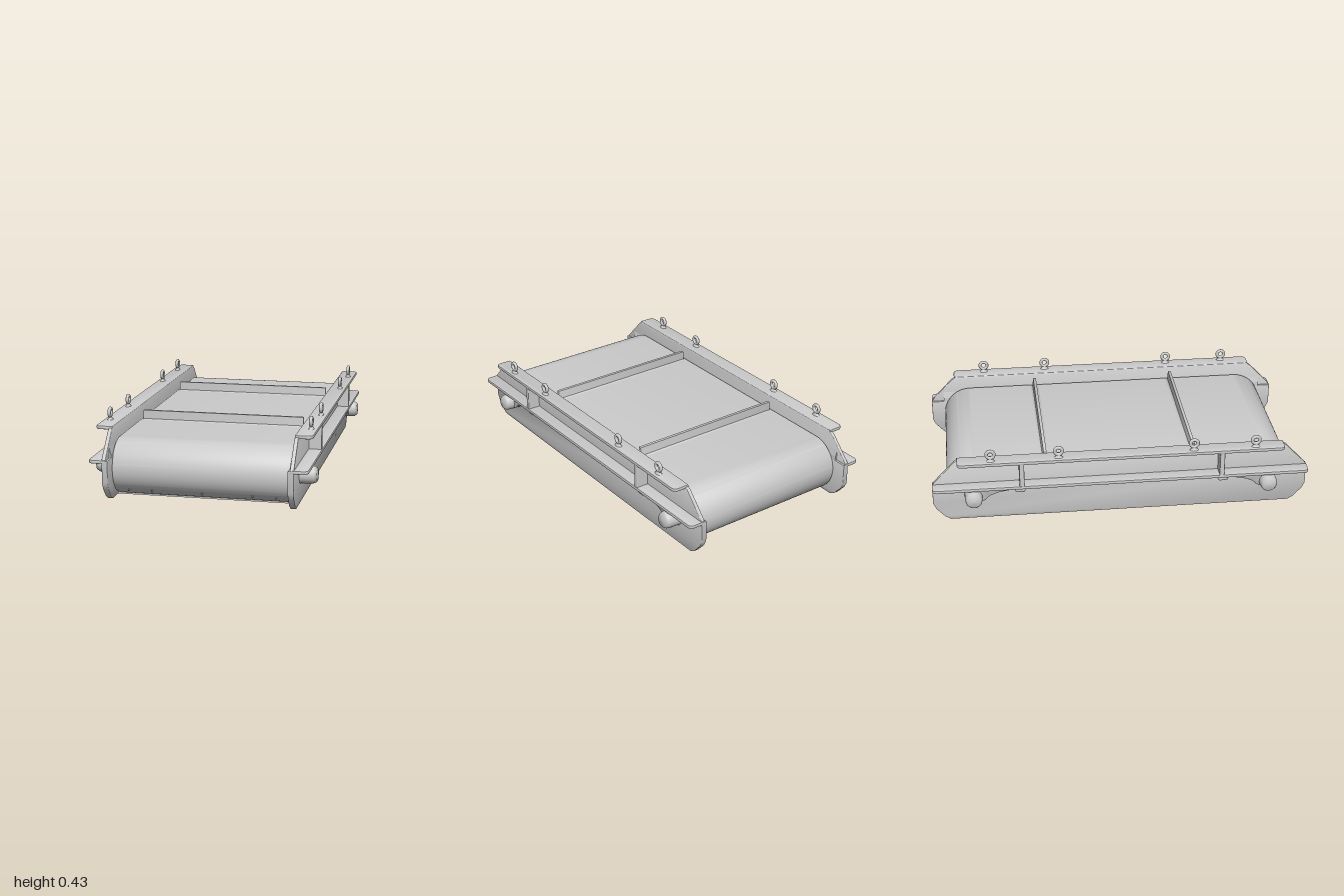
import * as THREE from 'three';
import { RoundedBoxGeometry } from 'three/addons/geometries/RoundedBoxGeometry.js';
import { toCreasedNormals } from 'three/addons/utils/BufferGeometryUtils.js';

const material = new THREE.MeshStandardMaterial({ color: 0xcccccc });

function add(parent, name, geometry, x = 0, y = 0, z = 0) {
  const mesh = new THREE.Mesh(geometry, material);
  mesh.name = name;
  mesh.position.set(x, y, z);
  parent.add(mesh);
  return mesh;
}

const polygon = (points) => new THREE.Shape(points.map(([z, y]) => new THREE.Vector2(z, y)));

// Extrudes a (z, y) outline across x, from x0 to x1
function extrudeAcross(shape, x0, x1, bevel = 0) {
  const geometry = new THREE.ExtrudeGeometry(shape, {
    depth: x1 - x0 - 2 * bevel, curveSegments: 24,
    bevelEnabled: bevel > 0, bevelSize: bevel, bevelThickness: bevel, bevelOffset: -bevel, bevelSegments: 4,
  });
  geometry.rotateY(-Math.PI / 2).translate(x1 - bevel, 0, 0);
  return toCreasedNormals(geometry, 0.6);
}

// Flat strip with rounded corners in plan
function flange(x0, x1, halfLength, y, thickness) {
  const r = 0.03, L = halfLength;
  const s = new THREE.Shape();
  s.moveTo(x0, -L);
  s.lineTo(x1 - r, -L);
  s.quadraticCurveTo(x1, -L, x1, -L + r);
  s.lineTo(x1, L - r);
  s.quadraticCurveTo(x1, L, x1 - r, L);
  s.lineTo(x0, L);
  const b = 0.004;
  const geometry = new THREE.ExtrudeGeometry(s, {
    depth: thickness - 2 * b, bevelSize: b, bevelThickness: b, bevelOffset: -b, bevelSegments: 2,
  });
  geometry.rotateX(-Math.PI / 2).translate(0, y + b, 0);
  return toCreasedNormals(geometry, 0.6);
}

// Belt loop, with rounded side edges
function addBelt(group) {
  const r = 0.149, end = 0.925 - r;
  const loop = new THREE.Shape();
  loop.moveTo(-end, 0.002);
  loop.lineTo(end, 0.002);
  loop.absarc(end, 0.151, r, -Math.PI / 2, Math.PI / 2);
  loop.lineTo(-end, 0.3);
  loop.absarc(-end, 0.151, r, Math.PI / 2, Math.PI * 1.5);
  add(group, 'belt', extrudeAcross(loop, -0.462, 0.462, 0.02));
  add(group, 'underside', new THREE.BoxGeometry(0.92, 0.02, 1.64), 0, 0.0101, 0);

  // Cross cleats with a flared foot
  const cleat = polygon([[-0.03, 0.296], [0.03, 0.296], [0.012, 0.305], [0.008, 0.35], [-0.008, 0.35], [-0.012, 0.305]]);
  for (const z of [-0.4, 0.392]) add(group, 'cleat', extrudeAcross(cleat, -0.436, 0.436, 0.002), 0, 0, z);

  // Small studs along the lower front edge
  for (const x of [-0.38, -0.26, 0, 0.26, 0.38]) {
    const stud = add(group, 'stud', new THREE.ConeGeometry(0.014, 0.045, 10), x, 0.05, 0.875);
    stud.rotation.x = 2.5;
  }
}

// Lifting eye standing on the top flange
function addLug(parent, z) {
  const lug = new THREE.Group();
  lug.name = 'liftingEye';
  lug.position.set(0.526, 0.36, z);
  const ring = add(lug, 'eyeRing', new THREE.TorusGeometry(0.02, 0.009, 10, 24), 0, 0.042, 0);
  ring.rotation.y = Math.PI / 2;
  const foot = new THREE.LatheGeometry([[0.026, 0], [0.017, 0.006], [0.012, 0.016], [0.01, 0.026], [0, 0.026]]
    .map(([a, b]) => new THREE.Vector2(a, b)), 16);
  add(lug, 'eyeFoot', foot.scale(0.75, 1, 1.2));
  parent.add(lug);
}

// One side frame, modelled on the +x side
function createSide(lugPositions) {
  const side = new THREE.Group();

  const lower = polygon([[-0.91, 0], [0.91, 0], [0.94, 0.018], [0.985, 0.068], [1, 0.1], [1, 0.215],
    [-1, 0.215], [-1, 0.1], [-0.985, 0.068], [-0.94, 0.018]]);
  add(side, 'sidePlate', extrudeAcross(lower, 0.457, 0.487, 0.003));

  const web = polygon([[-1, 0.21], [1, 0.21], [0.99, 0.228], [0.88, 0.345], [0.85, 0.363],
    [-0.85, 0.363], [-0.88, 0.345], [-0.99, 0.228]]);
  add(side, 'web', extrudeAcross(web, 0.468, 0.488, 0.003));

  // Sloping fillet between the plate and the web on the belt side
  const fillet = new THREE.Shape([[0.457, 0.2], [0.475, 0.2], [0.475, 0.29], [0.468, 0.27], [0.459, 0.235]]
    .map(([x, y]) => new THREE.Vector2(x, y)));
  add(side, 'fillet', new THREE.ExtrudeGeometry(fillet, { depth: 1.86, bevelEnabled: false }), 0, 0, -0.93);

  add(side, 'lowerFlange', flange(0.47, 0.558, 1, 0.2, 0.018));
  add(side, 'upperFlange', flange(0.47, 0.558, 0.865, 0.346, 0.018));

  for (const end of [-1, 1]) {
    add(side, 'stiffener', new RoundedBoxGeometry(0.08, 0.15, 0.026, 2, 0.005), 0.515, 0.282, end * 0.53);
    add(side, 'stiffenerFoot', new RoundedBoxGeometry(0.055, 0.04, 0.055, 3, 0.012), 0.508, 0.187, end * 0.54);

    // Shaft boss with a rounded cap
    const boss = new THREE.LatheGeometry([[0.053, 0], [0.047, 0.012], [0.046, 0.06], [0.043, 0.08], [0.034, 0.093], [0, 0.096]]
      .map(([a, b]) => new THREE.Vector2(a, b)), 32);
    boss.rotateZ(-Math.PI / 2);
    add(side, 'shaftBoss', boss, 0.48, 0.148, end * 0.785);

    // Curved bracket sweeping from the boss up to the flange
    const s = new THREE.Shape();
    s.moveTo(end * 0.81, 0.2);
    s.lineTo(end * 0.79, 0.125);
    s.quadraticCurveTo(end * 0.74, 0.105, end * 0.71, 0.145);
    s.quadraticCurveTo(end * 0.66, 0.18, end * 0.55, 0.182);
    s.lineTo(end * 0.55, 0.202);
    add(side, 'bossBracket', extrudeAcross(s, 0.48, 0.525, 0.004));
  }

  for (const z of lugPositions) addLug(side, z);
  return side;
}

export function createModel() {
  const model = new THREE.Group();
  model.name = 'conveyor';
  addBelt(model);

  const lugs = [-0.69, -0.335, 0.38, 0.71];
  const left = createSide(lugs);
  left.name = 'leftFrame';
  const right = createSide(lugs.map((z) => -z));
  right.name = 'rightFrame';
  right.rotation.y = Math.PI;
  model.add(left, right);
  return model;
}
